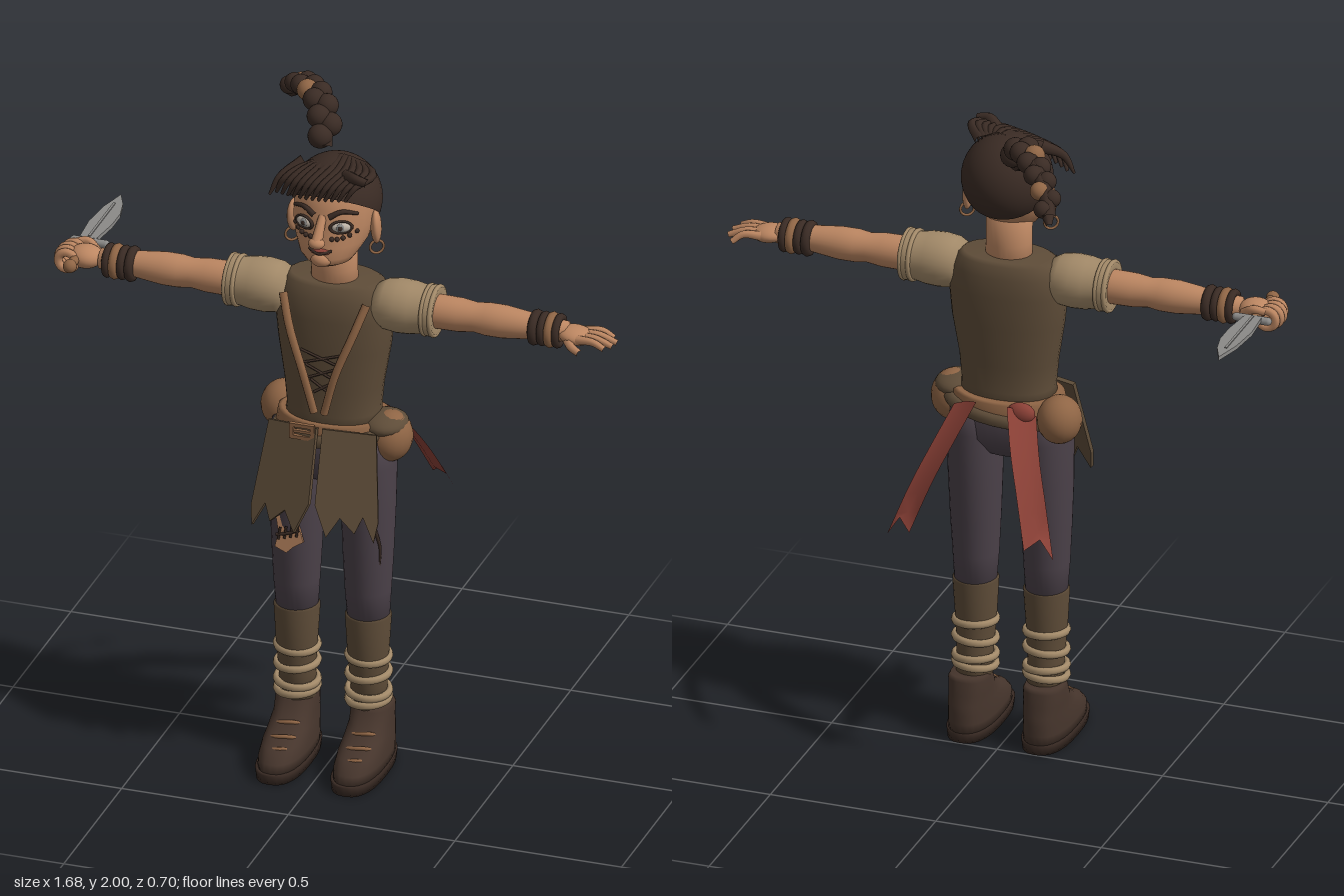
import * as THREE from 'three';
import { mergeVertices } from 'three/addons/utils/BufferGeometryUtils.js';

const V = (p) => new THREE.Vector3(...p);

// Vertical loft of oval rings [y, centreZ, radiusX, radiusZ]; power < 1 squares the oval
function loft(rings, power = 1, seg = 28) {
  const f = rings[0], l = rings[rings.length - 1];
  const all = [[f[0], f[1], 0, 0], ...rings, [l[0], l[1], 0, 0]];
  let g = new THREE.LatheGeometry(all.map((r) => new THREE.Vector2(1, r[0])), seg);
  const p = g.attributes.position;
  const sq = (v) => Math.sign(v) * Math.abs(v) ** power;
  for (let i = 0; i < p.count; i++) {
    const r = all[i % all.length];
    p.setXYZ(i, sq(p.getX(i)) * r[2], r[0], r[1] + sq(p.getZ(i)) * r[3]);
  }
  g.deleteAttribute('uv');
  g.deleteAttribute('normal');
  g = mergeVertices(g, 1e-5);
  g.computeVertexNormals();
  return g;
}

// Tube that tapers from radius r0 to r1
function taper(points, r0, r1 = r0, seg = 12, sides = 8) {
  const curve = new THREE.CatmullRomCurve3(points.map(V));
  const g = new THREE.TubeGeometry(curve, seg, r0, sides);
  const p = g.attributes.position, v = new THREE.Vector3();
  for (let i = 0; i < p.count; i++) {
    const t = Math.floor(i / (sides + 1)) / seg, c = curve.getPointAt(t);
    v.fromBufferAttribute(p, i).sub(c).multiplyScalar(1 + (r1 / r0 - 1) * t).add(c);
    p.setXYZ(i, v.x, v.y, v.z);
  }
  return g;
}

// Turned form lying along x, profile of [radius, x]
const turnX = (profile, s) =>
  new THREE.LatheGeometry(profile.map((p) => new THREE.Vector2(...p)), 28).rotateZ(-s * Math.PI / 2);

const extrude = (pts, depth) =>
  new THREE.ExtrudeGeometry(new THREE.Shape(pts.map((p) => new THREE.Vector2(...p))), { depth, bevelEnabled: false });

export function createModel() {
  const model = new THREE.Group();
  const mat = (name, color, side = THREE.FrontSide) => {
    const m = new THREE.MeshStandardMaterial({ color, side });
    m.name = name;
    return m;
  };
  const skin = mat('skin', 0xbd8762), hair = mat('dark hair', 0x3a2b24), cloth = mat('olive cloth', 0x5e4c38);
  const trousers = mat('plum trousers', 0x4b4149), linen = mat('linen', 0xa38a69), boot = mat('boot leather', 0x46352c);
  const red = mat('red sash', 0x8a4036, THREE.DoubleSide), steel = mat('steel', 0x8b8a88);
  const leather = mat('tan leather', 0x8f6545), white = mat('eye white', 0xc9bdb0);
  const add = (name, g, m, pos = [0, 0, 0], rot = [0, 0, 0], scale = [1, 1, 1]) => {
    const o = new THREE.Mesh(g, m);
    o.name = name;
    o.position.set(...pos);
    o.rotation.set(...rot);
    o.scale.set(...scale);
    model.add(o);
    return o;
  };
  const ball = (r) => new THREE.SphereGeometry(r, 20, 14);
  const ring = (r, t) => new THREE.TorusGeometry(r, t, 8, 28);

  // Torso, hips and belts
  add('tunic', loft([[1.06, 0.1, 0.145, 0.105], [1.12, 0.1, 0.137, 0.1], [1.2, 0.1, 0.145, 0.1], [1.32, 0.095, 0.165, 0.105],
    [1.42, 0.095, 0.175, 0.106], [1.48, 0.092, 0.165, 0.1], [1.515, 0.09, 0.145, 0.085], [1.525, 0.09, 0.13, 0.075]], 0.9), cloth);
  add('hips', loft([[0.9, 0.11, 0.09, 0.06], [0.95, 0.11, 0.16, 0.092], [1.07, 0.105, 0.165, 0.1]]), trousers);
  add('belt', loft([[1.05, 0.095, 0.165, 0.122], [1.055, 0.095, 0.172, 0.128], [1.095, 0.095, 0.166, 0.122], [1.1, 0.095, 0.155, 0.115]]), leather);
  add('slantedBelt', ring(0.172, 0.02), cloth, [0, 1.05, 0.095], [Math.PI / 2, 0.1, 0], [1, 0.74, 1]);

  // Neckline trims with lacing
  for (const s of [1, -1]) {
    add('tunicTrim', taper([[s * 0.125, 1.49, 0.185], [s * 0.095, 1.4, 0.218], [s * 0.05, 1.28, 0.238], [s * 0.015, 1.15, 0.235]], 0.013, 0.012), leather);
    for (let i = 0; i < 3; i++) {
      const y = 1.2 + i * 0.045, w = 0.025 + i * 0.015;
      add('lacing', taper([[-s * w, y, 0.208], [s * (w + 0.01), y + 0.04, 0.208]], 0.004, 0.004, 2, 5), boot);
    }
  }

  // Front skirt panels with ragged hems
  for (const s of [1, -1]) {
    const hem = [[-0.085, 0], [0.07, 0], [0.1, -0.25], [0.092, -0.31], [0.055, -0.24], [0.035, -0.29], [-0.01, -0.25], [-0.045, -0.31], [-0.085, -0.22]];
    const pts = hem.map(([x, y]) => [x * s, y]);
    add('skirtPanel', extrude(pts, 0.014), cloth, [s * 0.09, 1.09, 0.205], [-0.3, s * 0.2, 0]);
  }
  const frame = new THREE.Shape([[-0.037, -0.024], [0.037, -0.024], [0.037, 0.024], [-0.037, 0.024]].map((p) => new THREE.Vector2(...p)));
  frame.holes.push(new THREE.Path([[-0.025, -0.013], [-0.025, 0.013], [0.025, 0.013], [0.025, -0.013]].map((p) => new THREE.Vector2(...p))));
  add('buckle', new THREE.ExtrudeGeometry(frame, { depth: 0.012, bevelEnabled: false }), leather, [-0.05, 1.083, 0.23]);
  add('buckleBar', new THREE.BoxGeometry(0.05, 0.008, 0.01), leather, [-0.05, 1.083, 0.236]);

  // Belt pouches
  add('leftPouch', ball(0.072), leather, [0.168, 1.045, 0.105], [0, 0, 0], [0.92, 1.05, 1]);
  add('rightPouch', ball(0.068), leather, [-0.178, 1.055, 0.03], [0, 0, 0], [0.95, 1.05, 1]);
  add('leftPouchFlap', ball(0.074), cloth, [0.155, 1.085, 0.105], [0, 0, 0], [0.9, 0.45, 1]);

  // Sash tails, creased and notched
  for (const s of [1, -1]) {
    const path = new THREE.CatmullRomCurve3([[0.085, 1.09, -0.03], [0.125, 0.99, -0.11], [0.165, 0.89, -0.17], [0.212, 0.75, -0.235]].map(V));
    const g = new THREE.PlaneGeometry(1, 1, 2, 8), p = g.attributes.position;
    for (let i = 0; i < p.count; i++) {
      const u = p.getX(i), t = 0.5 - p.getY(i), c = path.getPoint(t), mid = u === 0;
      p.setXYZ(i, s * (c.x + u * 0.078), c.y + (mid && t > 0.99 ? 0.045 : 0) - u * 0.03, c.z + u * 0.03 + (mid ? 0.012 : 0));
    }
    g.computeVertexNormals();
    add('sashTail', g, red);
  }
  add('sashKnot', ball(0.035), red, [-0.08, 1.08, -0.02], [0, 0, 0], [1.2, 0.9, 0.7]);

  // Legs, leg wraps and boots
  for (const s of [1, -1]) {
    const x = s * 0.107;
    add('trouserLeg', loft([[0.46, 0.115, 0.06, 0.062], [0.56, 0.118, 0.067, 0.068], [0.68, 0.116, 0.073, 0.079], [0.82, 0.114, 0.078, 0.088],
      [0.96, 0.11, 0.08, 0.094], [1.05, 0.105, 0.075, 0.09]]), trousers, [x, 0, 0]);
    add('legWarmer', loft([[0.16, 0.1, 0.052, 0.054], [0.26, 0.112, 0.053, 0.054], [0.36, 0.118, 0.06, 0.06], [0.475, 0.116, 0.067, 0.067], [0.482, 0.116, 0.06, 0.06]]), cloth, [x, 0, 0]);
    [0.345, 0.29, 0.235, 0.21].forEach((y, i) =>
      add('legBand', ring(0.06, 0.01), linen, [x, y, 0.114], [Math.PI / 2 + 0.06, i % 2 ? 0.06 : -0.05, 0], [1, 1, 1.2]));
    const bx = s * 0.113;
    add('bootSole', loft([[0, 0.172, 0.069, 0.17], [0.028, 0.172, 0.072, 0.173], [0.03, 0.172, 0.066, 0.165]], 0.78), hair, [bx, 0, 0]);
    add('boot', loft([[0.02, 0.17, 0.067, 0.167], [0.055, 0.166, 0.068, 0.162], [0.085, 0.148, 0.066, 0.143], [0.11, 0.122, 0.063, 0.114],
      [0.14, 0.1, 0.06, 0.084], [0.18, 0.09, 0.06, 0.069], [0.192, 0.09, 0.054, 0.062]], 0.82), boot, [bx, 0, 0]);
    // Laces over the instep
    for (const [y, z, w] of [[0.125, 0.205, 0.05], [0.1, 0.25, 0.052], [0.078, 0.288, 0.045]])
      add('bootLace', taper([[bx - w, y - 0.025, z - 0.055], [bx - w * 0.5, y, z - 0.01], [bx + w * 0.5, y + 0.008, z - 0.01], [bx + w, y - 0.02, z - 0.055]], 0.006), leather);
  }
  // Torn right knee with stitches, and a slit on the left thigh
  add('kneeTear', extrude([[-0.04, 0.06], [0.035, 0.065], [0.03, 0.03], [0.045, -0.02], [0.015, -0.04], [-0.005, -0.06], [-0.04, -0.045], [-0.03, 0]], 0.008), skin, [-0.105, 0.73, 0.19], [-0.06, 0, 0]);
  add('stitch', taper([[-0.14, 0.725, 0.202], [-0.105, 0.735, 0.204], [-0.07, 0.75, 0.202]], 0.005), hair);
  for (let i = 0; i < 4; i++)
    add('stitch', taper([[-0.133 + i * 0.018, 0.712 + i * 0.005, 0.203], [-0.127 + i * 0.018, 0.752 + i * 0.005, 0.203]], 0.004, 0.004, 2, 5), hair);
  add('thighSlit', taper([[0.15, 0.78, 0.184], [0.162, 0.72, 0.174], [0.158, 0.66, 0.166]], 0.006, 0.003), hair);

  // Arms, sleeves and bracelets
  for (const s of [1, -1]) {
    const at = [0, 1.462, 0.103];
    add('arm', turnX([[0, 0.2], [0.048, 0.24], [0.05, 0.32], [0.049, 0.38], [0.043, 0.425], [0.048, 0.46], [0.048, 0.51], [0.041, 0.57], [0.033, 0.63], [0.03, 0.7], [0, 0.71]], s), skin, at);
    add('sleeve', turnX([[0, 0.12], [0.058, 0.13], [0.074, 0.16], [0.079, 0.2], [0.077, 0.24], [0.07, 0.275], [0.074, 0.28], [0.076, 0.31], [0.066, 0.315], [0.048, 0.312]], s), linen, at);
    for (const x of [0.283, 0.308]) add('sleeveCuff', ring(0.071, 0.007), linen, [s * x, 1.462, 0.103], [0, Math.PI / 2, 0]);
    [0.605, 0.63, 0.653, 0.675].forEach((x, i) =>
      add('bracelet', ring(0.039, i % 2 ? 0.012 : 0.014), i === 2 ? leather : hair, [s * x, 1.46, 0.103], [0, Math.PI / 2, 0]));
  }

  // Open left hand
  add('leftPalm', ball(0.05), skin, [0.725, 1.457, 0.105], [0, 0, -0.1], [1.05, 0.5, 0.92]);
  [[0.82, 0.05], [0.842, 0.085], [0.84, 0.118], [0.825, 0.148]].forEach(([x, z], i) => {
    const z0 = 0.073 + i * 0.021;
    add('finger', taper([[0.74, 1.458, z0], [0.79, 1.46, (z0 + z) / 2], [x, 1.438 + i * 0.003, z]], 0.014, 0.009), skin);
  });
  add('thumb', taper([[0.705, 1.45, 0.125], [0.73, 1.445, 0.16], [0.762, 1.438, 0.18]], 0.015, 0.01), skin);

  // Right fist closed on the knife
  add('rightPalm', ball(0.048), skin, [-0.745, 1.462, 0.103], [0, 0, 0], [1.05, 0.7, 0.95]);
  for (let i = 0; i < 4; i++)
    add('curledFinger', ring(0.026, 0.013), skin, [-0.8 + Math.abs(i - 1.5) * 0.006, 1.455, 0.068 + i * 0.023]);
  add('rightThumb', taper([[-0.72, 1.46, 0.07], [-0.755, 1.485, 0.055], [-0.79, 1.48, 0.06]], 0.015, 0.011), skin);
  add('knifeHandle', new THREE.CylinderGeometry(0.014, 0.014, 0.16, 16), leather, [-0.765, 1.465, 0.11], [Math.PI / 2, 0, 0]);
  add('knifePommel', ball(0.02), leather, [-0.765, 1.465, 0.185]);
  add('knifeGuard', new THREE.CapsuleGeometry(0.012, 0.095, 6, 12), steel, [-0.76, 1.468, 0.028], [0, 0, Math.PI / 2]);
  add('knifeBlade', extrude([[-0.028, 0], [0.022, 0], [0.035, 0.1], [0.035, 0.17], [0.022, 0.23], [-0.003, 0.285], [-0.025, 0.2], [-0.035, 0.1]], 0.012).rotateX(-Math.PI / 2), steel, [-0.763, 1.468, 0.025]);
  add('knifeRidge', new THREE.BoxGeometry(0.007, 0.018, 0.22), steel, [-0.765, 1.474, -0.09]);

  // Neck and head
  add('neck', loft([[1.48, 0.095, 0.07, 0.06], [1.56, 0.1, 0.067, 0.06], [1.65, 0.1, 0.068, 0.062]]), skin);
  add('head', loft([[1.6, 0.15, 0.045, 0.05], [1.612, 0.148, 0.068, 0.07], [1.635, 0.14, 0.085, 0.093], [1.67, 0.115, 0.105, 0.108], [1.72, 0.1, 0.117, 0.118],
    [1.78, 0.09, 0.119, 0.119], [1.82, 0.085, 0.112, 0.11], [1.855, 0.08, 0.085, 0.085], [1.878, 0.08, 0.03, 0.03]]), skin);
  add('chin', ball(0.028), skin, [0, 1.63, 0.218], [0, 0, 0], [1.1, 0.8, 0.8]);
  add('nose', taper([[0, 1.76, 0.205], [0, 1.73, 0.232], [0, 1.7, 0.258]], 0.012, 0.018), skin);
  add('noseTip', ball(0.021), skin, [0, 1.699, 0.257], [0, 0, 0], [1.15, 0.8, 1]);
  add('mouth', ball(0.03), red, [0, 1.658, 0.225], [0, 0, 0], [1, 0.3, 0.4]);
  add('mouthLine', taper([[-0.034, 1.663, 0.222], [0, 1.657, 0.24], [0.034, 1.663, 0.222]], 0.004), hair);

  // Eyes, brows, cheek marks, ears and earrings
  for (const s of [1, -1]) {
    add('eye', ball(0.03), white, [s * 0.055, 1.733, 0.198], [0, s * 0.4, 0], [1, 0.58, 0.45]);
    add('iris', ball(0.013), steel, [s * 0.055, 1.733, 0.208], [0, s * 0.4, 0], [1, 1, 0.5]);
    add('pupil', ball(0.007), hair, [s * 0.056, 1.733, 0.213], [0, s * 0.4, 0], [1, 1, 0.5]);
    add('eyeliner', ring(0.031, 0.005), hair, [s * 0.055, 1.733, 0.203], [0, s * 0.45, 0], [1, 0.6, 1]);
    add('eyebrow', taper([[s * 0.022, 1.763, 0.212], [s * 0.055, 1.78, 0.2], [s * 0.095, 1.768, 0.17]], 0.009, 0.005), hair);
    for (let i = 0; i < 5; i++)
      add('cheekMark', ball(0.007), hair, [s * (0.032 + i * 0.015), 1.698 + i * i * 0.001, 0.217 - i * i * 0.0028]);
    add('ear', ball(0.04), skin, [s * 0.122, 1.695, 0.093], [0.15, s * 0.25, 0], [0.4, 1.35, 0.85]);
    add('earring', ring(0.02, 0.004), leather, [s * 0.127, 1.635, 0.1], [0, 0.6, 0]);
  }

  // Hair cap and swept fringe
  add('hairCap', new THREE.SphereGeometry(0.132, 32, 18, 0, Math.PI * 2, 0, 1.75), hair, [0, 1.765, 0.084], [-0.6, 0, 0]);
  for (let i = 0; i < 12; i++) {
    const u = i / 11, x = 0.115 - u * 0.23;
    add('fringeLock', taper([[0.075 - u * 0.11, 1.885 - Math.abs(u - 0.5) * 0.035, 0.075], [x + 0.015, 1.882 - u * u * 0.025, 0.15 - u * 0.02],
      [x - 0.02, 1.862 - u * 0.03, 0.205 - u * u * 0.05], [x - 0.045, 1.822 - u * 0.04, 0.212 - u * u * 0.07]], 0.019, 0.005, 12, 7), hair);
  }
  add('hairTuft', taper([[0.05, 1.87, 0.15], [0.095, 1.885, 0.19], [0.13, 1.88, 0.195]], 0.02, 0.012), hair);
  add('sideLock', taper([[-0.09, 1.87, 0.1], [-0.15, 1.83, 0.14], [-0.178, 1.775, 0.15]], 0.022, 0.004), hair);

  // Braided ponytail made of knots, with leather ties
  const braid = new THREE.CatmullRomCurve3([[-0.07, 1.86, -0.02], [-0.085, 1.915, -0.06], [-0.11, 1.955, -0.1], [-0.14, 1.965, -0.14],
    [-0.18, 1.958, -0.19], [-0.22, 1.94, -0.24], [-0.255, 1.905, -0.285], [-0.275, 1.865, -0.325]].map(V));
  add('braidCore', new THREE.TubeGeometry(braid, 30, 0.022, 8), hair);
  for (let i = 0; i < 14; i++) {
    const t = 0.08 + i * 0.066, c = braid.getPointAt(t), o = i % 2 ? 0.012 : -0.012;
    add('braidKnot', ball(0.037 - t * 0.012), i === 6 || i === 11 ? leather : hair, [c.x + o, c.y, c.z - o * 0.8]);
  }
  add('braidTip', taper([[-0.272, 1.87, -0.318], [-0.285, 1.85, -0.345]], 0.02, 0.008, 4), hair);
  return model;
}
